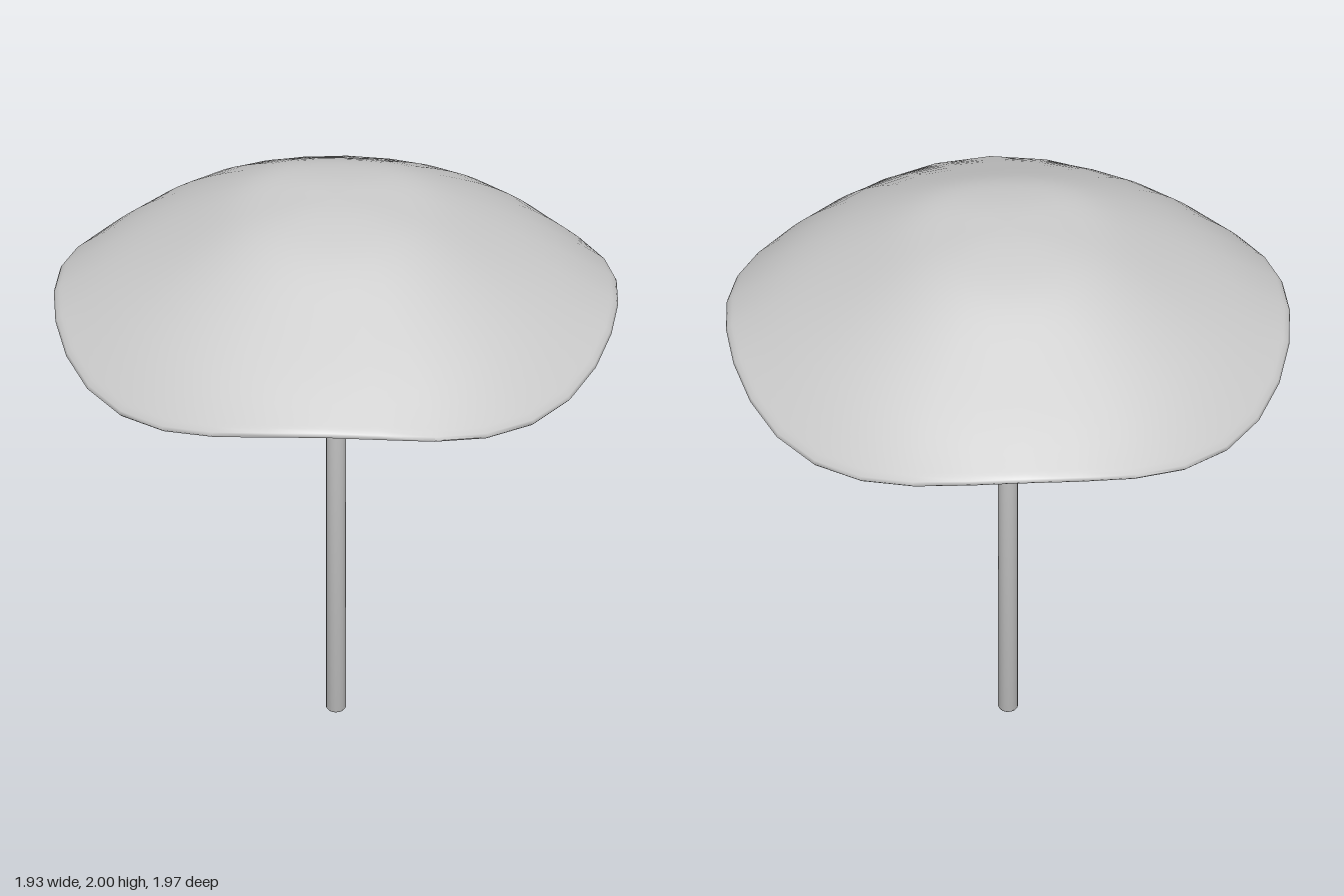
import * as THREE from 'three';
import { mergeVertices, toCreasedNormals } from 'three/addons/utils/BufferGeometryUtils.js';

const material = new THREE.MeshStandardMaterial({ color: 0xcccccc });
const toPoints = (list) => list.map(([r, y]) => new THREE.Vector2(r, y));

// Revolve a profile and keep only its sharp edges creased
function revolve(points, sides, deform) {
  let geometry = new THREE.LatheGeometry(points, sides);
  if (deform) deform(geometry.attributes.position, points.length);
  geometry.deleteAttribute('uv');
  geometry.deleteAttribute('normal');
  geometry = mergeVertices(geometry, 1e-5);
  return toCreasedNormals(geometry, 1.2);
}

// Pull the round canopy into four drooping lobes with a slightly squared rim;
// the top stays fuller over the lobes than the underside
function shapeLobes(position, profileLength) {
  for (let i = 0; i < position.count; i++) {
    const x = position.getX(i), z = position.getZ(i);
    const r = Math.hypot(x, z);
    const c2 = Math.cos(2 * Math.atan2(z, x));
    const scale = 1 - 0.025 * c2 * c2 - 0.01 * c2;
    const isTop = i % profileLength > profileLength / 2;
    const droop = isTop ? 0.085 * r ** 4 - 0.1 * r * r * (1 - r * r) : 0.085 * r ** 2.2;
    position.setXYZ(i, x * scale, position.getY(i) - droop * (1 - c2 * c2), z * scale);
  }
}

function createCanopy() {
  const underside = new THREE.SplineCurve(toPoints([
    [0, 1.838], [0.1, 1.836], [0.2, 1.829], [0.4, 1.796], [0.6, 1.739], [0.8, 1.672], [0.98, 1.602],
  ])).getPoints(24);
  const rim = toPoints([[0.993, 1.594], [1, 1.602], [0.995, 1.612]]);
  const top = new THREE.SplineCurve(toPoints([
    [0.98, 1.622], [0.93, 1.65], [0.8, 1.722], [0.6, 1.826], [0.42, 1.918],
    [0.31, 1.961], [0.2, 1.985], [0.1, 1.997], [0, 2],
  ])).getPoints(24);
  const canopy = new THREE.Mesh(revolve([...underside, ...rim, ...top], 32, shapeLobes), material);
  canopy.name = 'canopy';
  return canopy;
}

function createPole() {
  const profile = toPoints([[0, 0], [0.028, 0], [0.034, 0.008], [0.034, 1.86], [0, 1.86]]);
  const pole = new THREE.Mesh(revolve(profile, 16), material);
  pole.name = 'pole';
  return pole;
}

export function createModel() {
  const parasol = new THREE.Group();
  parasol.name = 'parasol';
  parasol.add(createCanopy(), createPole());
  return parasol;
}
